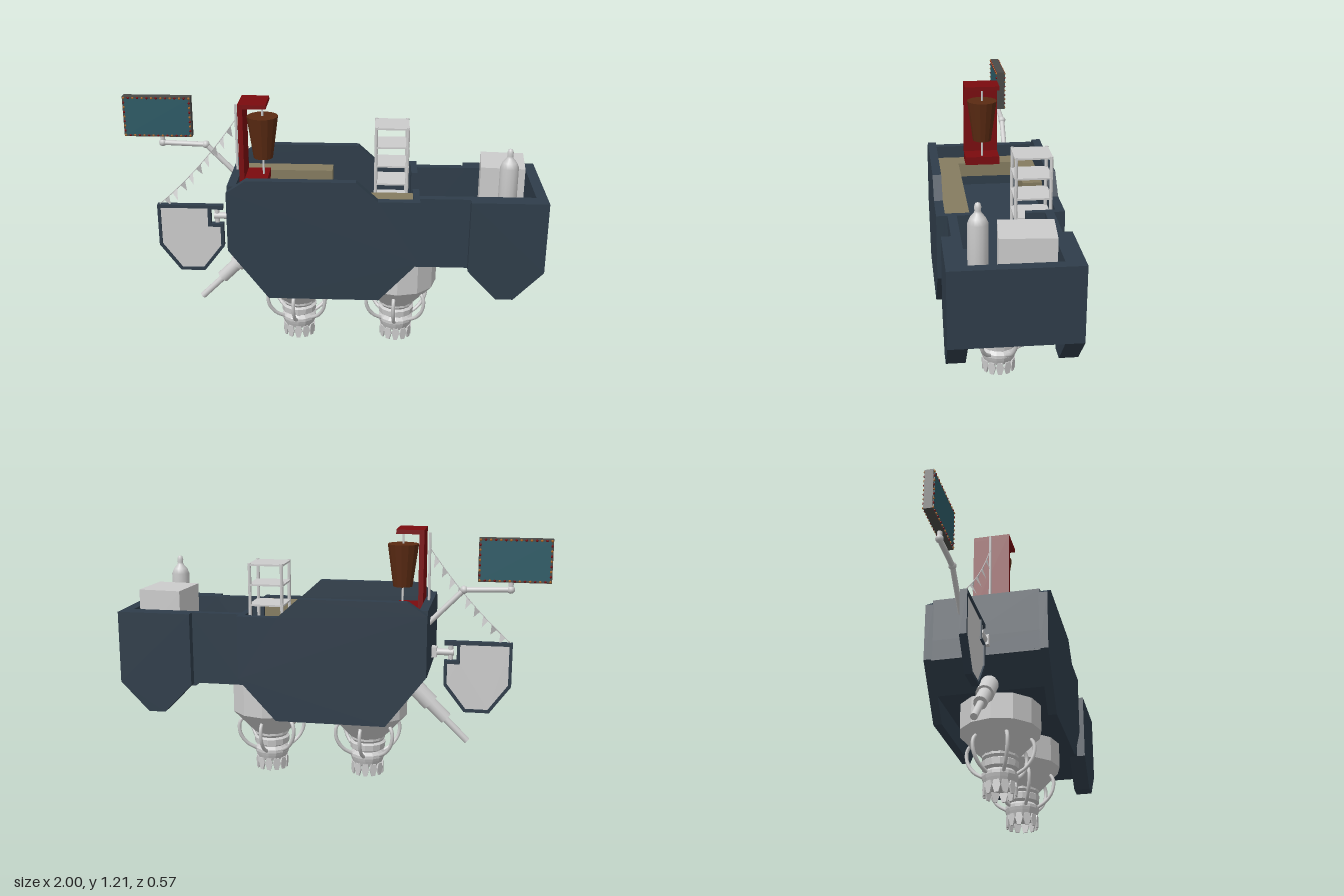
import * as THREE from 'three';

const mat = (color, flat = false, side = THREE.FrontSide) =>
  new THREE.MeshStandardMaterial({ color, flatShading: flat, side });
const GREY = mat(0xcccccc, true), SMOOTH = mat(0xcccccc), HULL = mat(0x2f3d4a, true);
const RED = mat(0x7a0a0e), MEAT = mat(0x5a2a12, true), TAN = mat(0x857c60);
const TEAL = mat(0x2c5a66), DARK = mat(0x4a4a48), ORANGE = mat(0xb06a28);
const THIN = mat(0xcccccc, true, THREE.DoubleSide);
const V = (x, y, z) => new THREE.Vector3(x, y, z);

function add(parent, name, geometry, material, x = 0, y = 0, z = 0) {
  const m = new THREE.Mesh(geometry, material);
  m.name = name;
  m.position.set(x, y, z);
  parent.add(m);
  return m;
}

// box given by its min/max on each axis
function box(parent, name, material, x0, x1, y0, y1, z0, z1) {
  return add(parent, name, new THREE.BoxGeometry(x1 - x0, y1 - y0, z1 - z0), material,
    (x0 + x1) / 2, (y0 + y1) / 2, (z0 + z1) / 2);
}

// side-view outline extruded from z0 to z1
function plate(parent, name, material, pts, z0, z1, hole) {
  const s = new THREE.Shape(pts.map(p => new THREE.Vector2(...p)));
  if (hole) s.holes.push(new THREE.Path(hole.map(p => new THREE.Vector2(...p))));
  return add(parent, name, new THREE.ExtrudeGeometry(s, { depth: z1 - z0, bevelEnabled: false }), material, 0, 0, z0);
}

// cylinder between two points
function rod(parent, name, material, a, b, r, r2 = r, sides = 12) {
  const m = add(parent, name, new THREE.CylinderGeometry(r2, r, a.distanceTo(b), sides), material);
  m.position.copy(a).lerp(b, 0.5);
  m.quaternion.setFromUnitVectors(V(0, 1, 0), b.clone().sub(a).normalize());
  return m;
}

const lathe = (pts, sides) => new THREE.LatheGeometry(pts.map(p => new THREE.Vector2(...p)), sides);

function makeHull() {
  const g = new THREE.Group();
  g.name = 'hull';
  const side = [[-0.46, 0.85], [-0.46, 0.567], [-0.275, 0.326], [0.24, 0.326], [0.42, 0.52],
    [0.42, 0.82], [0.23, 0.82], [0.13, 0.91], [-0.37, 0.91]];
  const fender = [[0.65, 0.82], [0.65, 0.48], [0.785, 0.34], [0.865, 0.34], [1, 0.48], [1, 0.82]];
  // mirrored side walls
  for (const s of [-1, 1]) {
    const wall = (n, p, a, b) => plate(g, n, HULL, p, Math.min(s * a, s * b), Math.max(s * a, s * b));
    wall('mainSide', side, 0.245, 0.285);
    wall('rearFender', fender, 0.195, 0.277);
    wall('middleSide', [[0.41, 0.48], [0.66, 0.48], [0.66, 0.82], [0.41, 0.82]], 0.195, 0.235);
  }
  // belly with floor, end walls, partition with doorway
  plate(g, 'mainBelly', HULL, [[-0.46, 0.66], [-0.46, 0.567], [-0.355, 0.43], [0.336, 0.43],
    [0.42, 0.52], [0.42, 0.66]], -0.25, 0.25);
  box(g, 'rearBelly', HULL, 0.41, 0.99, 0.48, 0.66, -0.2, 0.2);
  box(g, 'frontWall', HULL, -0.46, -0.42, 0.56, 0.87, -0.25, 0.25);
  box(g, 'rearWall', HULL, 0.95, 1, 0.48, 0.82, -0.2, 0.2);
  box(g, 'partition', HULL, 0.39, 0.42, 0.6, 0.82, -0.25, -0.11);
  box(g, 'partition', HULL, 0.39, 0.42, 0.6, 0.82, 0.11, 0.25);
  // benches
  box(g, 'backBench', TAN, -0.42, 0.005, 0.74, 0.81, -0.245, -0.15);
  box(g, 'frontBench', TAN, -0.42, 0.39, 0.74, 0.81, 0.135, 0.245);
  box(g, 'endBench', TAN, -0.42, -0.32, 0.74, 0.81, -0.15, 0.135);
  return g;
}

function makeThruster(x) {
  const g = new THREE.Group();
  g.name = 'thruster';
  g.position.x = x;
  add(g, 'thrusterBody', lathe([[0, 0.5], [0.192, 0.5], [0.192, 0.305], [0.085, 0.19], [0, 0.19]].reverse(), 12), GREY);
  add(g, 'nozzle', lathe([[0.05, 0.04], [0.07, 0.05], [0.08, 0.075], [0.085, 0.09], [0.085, 0.105], [0.068, 0.12],
    [0.085, 0.13], [0.088, 0.16], [0.075, 0.168], [0.085, 0.18], [0.085, 0.2]], 14), GREY);
  add(g, 'nozzleCore', new THREE.CircleGeometry(0.07, 14).rotateX(Math.PI / 2), GREY, 0, 0.045);
  // petals round the outlet
  const petal = new THREE.Shape([[-0.012, 0.06], [-0.019, 0.035], [-0.009, 0], [0.009, 0], [0.019, 0.035], [0.012, 0.06]]
    .map(p => new THREE.Vector2(...p)));
  const pg = new THREE.ExtrudeGeometry(petal, { depth: 0.008, bevelEnabled: false }).translate(0, 0, 0.07);
  for (let i = 0; i < 12; i++) add(g, 'petal', pg, GREY).rotation.y = i * Math.PI / 6;
  // curved hoses
  const path = new THREE.CatmullRomCurve3([V(0.12, 0.25, 0), V(0.143, 0.262, 0), V(0.162, 0.235, 0),
    V(0.158, 0.18, 0), V(0.125, 0.13, 0), V(0.075, 0.098, 0)]);
  const hg = new THREE.TubeGeometry(path, 16, 0.009, 8);
  for (let i = 0; i < 6; i++) add(g, 'hose', hg, SMOOTH).rotation.y = i * Math.PI / 3 + 0.42;
  return g;
}

function makeShelf() {
  const g = new THREE.Group();
  g.name = 'shelfRack';
  for (const x of [0.217, 0.368]) for (const z of [-0.228, -0.072])
    rod(g, 'shelfPost', GREY, V(x, 0.66, z), V(x, 1.06, z), 0.008, 0.008, 8);
  for (const y of [0.68, 0.775, 0.865, 0.96, 1.053])
    box(g, 'shelfBoard', GREY, 0.21, 0.375, y - 0.004, y + 0.004, -0.235, -0.065);
  return g;
}

function makeGrill() {
  const g = new THREE.Group();
  g.name = 'grill';
  box(g, 'grillBack', RED, -0.42, -0.397, 0.81, 1.21, -0.07, 0.1);
  box(g, 'grillTop', RED, -0.42, -0.29, 1.19, 1.21, -0.07, 0.1);
  box(g, 'grillBase', RED, -0.42, -0.29, 0.81, 0.85, -0.07, 0.1);
  rod(g, 'skewer', SMOOTH, V(-0.315, 0.85, 0.015), V(-0.315, 1.19, 0.015), 0.005);
  rod(g, 'meat', MEAT, V(-0.315, 0.933, 0.015), V(-0.315, 1.135, 0.015), 0.046, 0.074, 14);
  return g;
}

function makeSign() {
  const g = new THREE.Group(), z = -0.118;
  g.name = 'sign';
  box(g, 'signCase', DARK, -1, -0.672, 0.99, 1.188, z - 0.02, z + 0.02);
  for (const s of [-1, 1]) {
    const zc = z + s * 0.021;
    box(g, 'signPanel', TEAL, -0.99, -0.682, 1.0, 1.178, zc - 0.002, zc + 0.002);
    // border bulbs
    const bulb = new THREE.SphereGeometry(0.006, 6, 4);
    for (let i = 0; i <= 14; i++) for (const y of [0.997, 1.181])
      add(g, 'bulb', bulb, i % 2 ? RED : ORANGE, -0.993 + i * 0.0224, y, zc);
    for (let i = 1; i < 8; i++) for (const x of [-0.993, -0.679])
      add(g, 'bulb', bulb, i % 2 ? RED : ORANGE, x, 0.997 + i * 0.023, zc);
  }
  // jointed arm
  const a = V(-0.82, 0.955, z), b = V(-0.61, 0.948, z);
  rod(g, 'signStem', SMOOTH, a, V(-0.82, 0.99, z), 0.012);
  rod(g, 'upperArm', SMOOTH, a, b, 0.013);
  rod(g, 'lowerArm', SMOOTH, b, V(-0.45, 0.785, z), 0.013);
  for (const p of [a, b]) add(g, 'armJoint', new THREE.SphereGeometry(0.019, 12, 8), SMOOTH, p.x, p.y, z);
  return g;
}

function makeRudder() {
  const g = new THREE.Group();
  g.name = 'rudder';
  plate(g, 'rudderFrame', HULL, [[-0.84, 0.68], [-0.84, 0.47], [-0.74, 0.335], [-0.62, 0.335], [-0.52, 0.465],
    [-0.52, 0.585], [-0.58, 0.585], [-0.58, 0.66], [-0.52, 0.66], [-0.52, 0.68]], -0.016, 0.016,
  [[-0.825, 0.665], [-0.595, 0.665], [-0.595, 0.57], [-0.535, 0.57], [-0.535, 0.47], [-0.627, 0.35],
    [-0.733, 0.35], [-0.825, 0.475]]);
  plate(g, 'rudderPanel', GREY, [[-0.83, 0.67], [-0.83, 0.473], [-0.737, 0.343], [-0.623, 0.343], [-0.53, 0.468],
    [-0.53, 0.577], [-0.588, 0.577], [-0.588, 0.67]], -0.009, 0.009);
  rod(g, 'hingePin', SMOOTH, V(-0.55, 0.59, 0), V(-0.55, 0.66, 0), 0.012);
  rod(g, 'hingeArm', SMOOTH, V(-0.565, 0.625, 0), V(-0.45, 0.625, 0), 0.017);
  box(g, 'hingeBracket', GREY, -0.485, -0.455, 0.6, 0.65, -0.022, 0.022);
  return g;
}

function makePennants() {
  const g = new THREE.Group(), z = 0.015;
  g.name = 'pennants';
  rod(g, 'flagPole', SMOOTH, V(-0.44, 0.82, z), V(-0.44, 1.19, z), 0.006);
  const line = new THREE.QuadraticBezierCurve3(V(-0.44, 1.12, z), V(-0.62, 0.86, z), V(-0.835, 0.675, 0));
  add(g, 'flagLine', new THREE.TubeGeometry(line, 20, 0.002, 5), SMOOTH);
  for (let i = 0; i < 9; i++) {
    const p = line.getPoint(0.07 + i * 0.1), q = line.getPoint(0.13 + i * 0.1);
    const geo = new THREE.BufferGeometry().setFromPoints([p, q, V(p.x + 0.005, q.y - 0.03, z + (i % 2 ? 0.015 : -0.015))]);
    geo.computeVertexNormals();
    add(g, 'flag', geo, THIN);
  }
  return g;
}

export function createModel() {
  const model = new THREE.Group();
  model.name = 'hoverDiner';
  model.add(makeHull(), makeThruster(-0.155), makeThruster(0.33), makeShelf(), makeGrill(),
    makeSign(), makeRudder(), makePennants());
  // slanted exhaust pipe
  rod(model, 'exhaustSleeve', SMOOTH, V(-0.33, 0.5, 0), V(-0.46, 0.37, 0), 0.042, 0.042, 16);
  rod(model, 'exhaustMiddle', SMOOTH, V(-0.44, 0.39, 0), V(-0.535, 0.295, 0), 0.031, 0.031, 16);
  rod(model, 'exhaustPipe', SMOOTH, V(-0.5, 0.325, 0), V(-0.64, 0.187, 0), 0.016, 0.016, 16);
  // gas tank and storage crate in the rear bay
  add(model, 'gasTank', lathe([[0, 0.66], [0.043, 0.66], [0.043, 0.945], [0.032, 0.97], [0.015, 0.99],
    [0.013, 1.0], [0.015, 1.015], [0.01, 1.03], [0, 1.034]], 16), SMOOTH, 0.826, 0, 0.138);
  add(model, 'crate', new THREE.BoxGeometry(0.205, 0.25, 0.235), GREY, 0.818, 0.785, -0.06).rotation.y = -0.08;
  return model;
}
